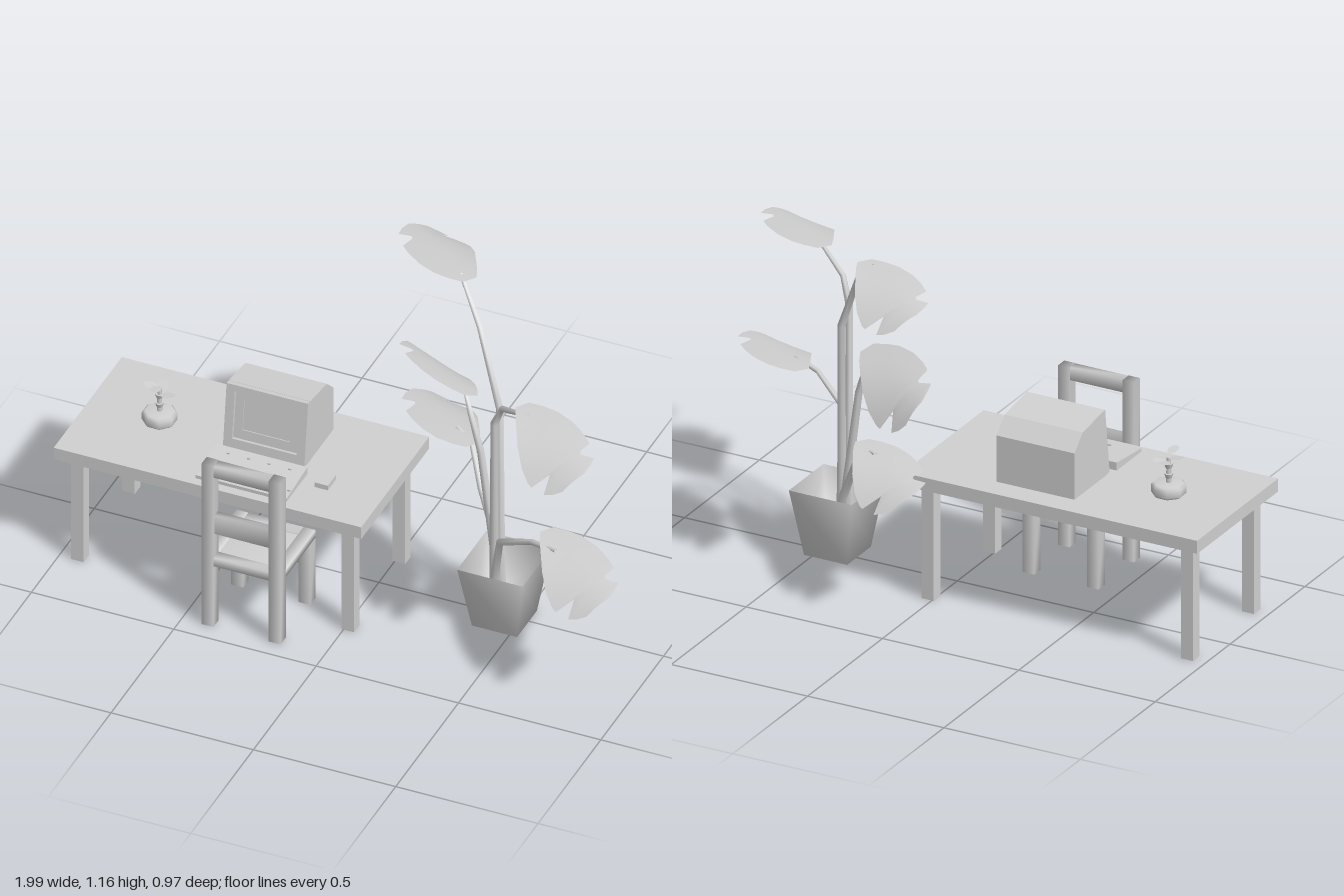
import * as THREE from 'three';
import { mergeVertices } from 'three/addons/utils/BufferGeometryUtils.js';

const grey = new THREE.MeshStandardMaterial({ color: 0xd0d0d0, side: THREE.DoubleSide });
grey.name = 'pale grey';

function add(parent, name, geo) {
  const m = new THREE.Mesh(geo, grey);
  m.name = name;
  parent.add(m);
  return m;
}

// Box given by its minimum and maximum along each axis; optionally with soft shared normals
function box(parent, name, x0, x1, y0, y1, z0, z1, soft = false) {
  let g = new THREE.BoxGeometry(x1 - x0, y1 - y0, z1 - z0);
  if (soft) {
    g.deleteAttribute('normal');
    g.deleteAttribute('uv');
    g = mergeVertices(g);
    g.computeVertexNormals();
  }
  const m = add(parent, name, g);
  m.position.set((x0 + x1) / 2, (y0 + y1) / 2, (z0 + z1) / 2);
  return m;
}

function group(parent, name) {
  const g = new THREE.Group();
  g.name = name;
  parent.add(g);
  return g;
}

function surface(pos, idx) {
  const g = new THREE.BufferGeometry();
  g.setAttribute('position', new THREE.Float32BufferAttribute(pos, 3));
  g.setIndex(idx);
  g.computeVertexNormals();
  return g;
}

// Grid of vertices, rows x cols, joined into triangles
function gridIndex(rows, cols) {
  const idx = [];
  for (let i = 0; i < rows - 1; i++) for (let j = 0; j < cols - 1; j++) {
    const a = i * cols + j, b = a + cols;
    idx.push(a, a + 1, b, b, a + 1, b + 1);
  }
  return idx;
}

// Tapered stem with a kink at each point
function stemGeometry(points, r0, r1) {
  const p = points.map(a => new THREE.Vector3(...a)), sides = 6, pos = [];
  p.forEach((c, i) => {
    const dir = p[Math.min(i + 1, p.length - 1)].clone().sub(p[Math.max(i - 1, 0)]).normalize();
    const q = new THREE.Quaternion().setFromUnitVectors(new THREE.Vector3(0, 1, 0), dir);
    const r = r0 + (r1 - r0) * i / (p.length - 1);
    for (let j = 0; j <= sides; j++) {
      const a = -j / sides * Math.PI * 2;
      const v = new THREE.Vector3(Math.cos(a) * r, 0, Math.sin(a) * r).applyQuaternion(q).add(c);
      pos.push(v.x, v.y, v.z);
    }
  });
  return surface(pos, gridIndex(p.length, sides + 1));
}

// Notched leaf: rows of [distance along, upper side, drooping side]
const leafRows = [
  [-0.03, -0.03, 0.02], [0.01, -0.06, 0.045], [0.06, -0.085, 0.07], [0.13, -0.1, 0.105],
  [0.2, -0.1, 0.13], [0.25, -0.092, 0.137], [0.27, -0.045, 0.135], [0.285, -0.04, 0.075],
  [0.32, -0.068, 0.118], [0.345, -0.04, 0.1], [0.365, -0.005, 0.075]
];
function leafGeometry(droop) {
  const pos = [], n = 6;
  for (const [u, a, b] of leafRows) for (let j = 0; j <= n; j++) {
    const v = a + (b - a) * j / n, t = Math.max(u, 0) / 0.365;
    const s = Math.max(v + 0.05, 0) / 0.15;
    pos.push(u, -droop * (0.02 * t * t + 0.07 * t * s * s), v);
  }
  const idx = gridIndex(leafRows.length, n + 1);
  return surface(pos, idx);
}

function makeDesk(root) {
  const desk = group(root, 'desk');
  box(desk, 'deskTop', -1, 0.08, 0.41, 0.456, -0.22, 0.322);
  for (const x of [-0.957, -0.007]) for (const z of [-0.17, 0.238])
    box(desk, 'deskLeg', x, x + 0.044, 0, 0.41, z, z + 0.044);
}

function makeChair(root) {
  const chair = group(root, 'chair');
  const [l, r, w] = [-0.43, -0.152, 0.042];
  for (const x of [l, r - w]) {
    box(chair, 'backPost', x, x + w, 0, 0.637, 0.397, 0.438, true);
    box(chair, 'frontLeg', x, x + w, 0, 0.245, 0.16, 0.202, true);
    box(chair, 'sideRail', x, x + w, 0.24, 0.27, 0.16, 0.4, true);
  }
  box(chair, 'topRail', l + w, r - w, 0.592, 0.637, 0.4, 0.436, true);
  box(chair, 'backSlat', l + w, r - w, 0.365, 0.438, 0.405, 0.43, true);
  box(chair, 'rearRail', l + w, r - w, 0.24, 0.273, 0.398, 0.436, true);
  box(chair, 'frontRail', l + w, r - w, 0.24, 0.27, 0.16, 0.2, true);
  box(chair, 'seat', l + w, r - w, 0.25, 0.264, 0.2, 0.4, true);
}

function makeComputer(root) {
  const pc = group(root, 'computer');
  const cx = -0.361, w = 0.286;
  // Housing: side profile swept across the width
  const side = new THREE.Shape([[0.082, 0.456], [0.052, 0.69], [-0.08, 0.672], [-0.135, 0.62], [-0.135, 0.456]]
    .map(([z, y]) => new THREE.Vector2(-z, y)));
  const body = add(pc, 'monitorHousing', new THREE.ExtrudeGeometry(side, { depth: w, bevelEnabled: false }));
  body.rotation.y = Math.PI / 2;
  body.position.x = cx - w / 2;
  // Leaning front frame around a recessed screen
  const rect = (T, x, y0, y1) => {
    const s = new T();
    s.moveTo(-x, y0); s.lineTo(x, y0); s.lineTo(x, y1); s.lineTo(-x, y1); s.closePath();
    return s;
  };
  const front = group(pc, 'monitorFront');
  front.position.set(cx, 0.458, 0.0815);
  front.rotation.x = -Math.atan2(0.03, 0.234);
  const frame = (name, xo, a, b, xi, c, d, depth) => {
    const s = rect(THREE.Shape, xo, a, b);
    s.holes.push(rect(THREE.Path, xi, c, d));
    return add(front, name, new THREE.ExtrudeGeometry(s, { depth, bevelEnabled: false }));
  };
  frame('outerFrame', w / 2, 0, 0.233, 0.113, 0.036, 0.212, 0.018);
  frame('innerFrame', 0.113, 0.036, 0.212, 0.083, 0.07, 0.188, 0.007);
  box(front, 'screen', -0.083, 0.083, 0.07, 0.188, 0, 0.003);

  // Keyboard wedge with two rows of small keys
  const keyboard = group(pc, 'keyboard');
  const wedge = new THREE.Shape([[-0.29, 0.456], [-0.125, 0.456], [-0.125, 0.484], [-0.29, 0.468]]
    .map(p => new THREE.Vector2(...p)));
  const base = add(keyboard, 'keyboardBase', new THREE.ExtrudeGeometry(wedge, { depth: 0.32, bevelEnabled: false }));
  base.rotation.y = Math.PI / 2;
  base.position.x = -0.516;
  for (let i = 0; i < 4; i++) for (const [x, z, y] of [[-0.465, 0.152, 0.482], [-0.425, 0.248, 0.473]])
    box(keyboard, 'key', x + i * 0.072, x + i * 0.072 + 0.01, y - 0.004, y + 0.004, z, z + 0.008);
  box(pc, 'mouse', -0.147, -0.1, 0.456, 0.474, 0.115, 0.18);
}

function makeDeskFlower(root) {
  const flower = group(root, 'deskFlower');
  flower.position.set(-0.748, 0.456, 0.05);
  const pot = add(flower, 'smallPot', new THREE.LatheGeometry([[0, 0], [0.05, 0], [0.058, 0.008],
    [0.058, 0.032], [0.048, 0.042], [0, 0.042]].map(p => new THREE.Vector2(...p)), 8));
  pot.rotation.y = Math.PI / 8;
  add(flower, 'smallStem', new THREE.CylinderGeometry(0.007, 0.009, 0.09, 6)).position.y = 0.085;
  for (const y of [0.065, 0.1])
    add(flower, 'stemKnot', new THREE.CylinderGeometry(0.015, 0.01, 0.016, 6)).position.y = y;
  // Four flat petals at rising heights
  for (let i = 0; i < 4; i++) {
    const arm = group(flower, 'petalArm');
    arm.rotation.y = i * Math.PI / 2;
    arm.position.y = 0.11 + i * 0.012;
    const petal = add(arm, 'petal', new THREE.CircleGeometry(1, 8).rotateX(-Math.PI / 2));
    petal.scale.set(0.026, 1, 0.018);
    petal.position.x = 0.03;
    petal.rotation.z = 0.15;
  }
}

function makePlant(root) {
  const plant = group(root, 'pottedPlant');
  // Open square pot
  const pot = add(plant, 'plantPot', new THREE.LatheGeometry([[0, 0], [0.112, 0], [0.163, 0.235]]
    .map(p => new THREE.Vector2(...p)), 4));
  pot.rotation.y = Math.PI / 4;
  pot.position.set(0.448, 0, 0.016);

  const heading = Math.atan2(0.22, -0.3); // shared direction of the left-hand leaves
  // Stem points, base radius, leaf base, leaf heading, droop and tilt
  const shoots = [
    { stem: [[0.445, 0.1, 0.035], [0.44, 0.235, 0.03], [0.425, 0.81, 0], [0.31, 1.04, -0.1], [0.2, 1.152, -0.2]],
      r: 0.02, leaf: [0.22, 1.155, -0.2], turn: heading, droop: 1 },
    { stem: [[0.43, 0.1, 0.05], [0.432, 0.235, 0.062], [0.45, 0.83, 0.1], [0.49, 0.92, 0.13], [0.62, 0.982, 0.21]],
      r: 0.02, leaf: [0.6, 0.987, 0.19], turn: heading + Math.PI, droop: 1 },
    { stem: [[0.41, 0.1, 0], [0.4, 0.235, -0.015], [0.345, 0.6, -0.03], [0.305, 0.73, -0.04], [0.27, 0.775, -0.08]],
      r: 0.02, leaf: [0.275, 0.785, -0.085], turn: heading, droop: 1.1, tilt: 0.38 },
    { stem: [[0.42, 0.1, -0.03], [0.387, 0.235, -0.06], [0.31, 0.395, -0.11], [0.24, 0.495, -0.196], [0.17, 0.507, -0.24]],
      r: 0.018, leaf: [0.235, 0.51, -0.19], turn: heading, droop: 1 },
    { stem: [[0.45, 0.1, 0.08], [0.456, 0.235, 0.112], [0.5, 0.42, 0.17], [0.64, 0.505, 0.235], [0.74, 0.52, 0.27]],
      r: 0.018, leaf: [0.69, 0.525, 0.2], turn: heading + Math.PI, droop: 1 }
  ];
  for (const s of shoots) {
    add(plant, 'stem', stemGeometry(s.stem, s.r, 0.007));
    const leaf = add(plant, 'leaf', leafGeometry(s.droop));
    leaf.geometry.scale(1, 1, -1);      // drooping side lies to the left of the heading
    leaf.geometry.index.array.reverse();
    leaf.geometry.computeVertexNormals();
    leaf.rotation.order = 'YXZ';
    leaf.rotation.set(s.tilt || 0, s.turn, 0);
    // The drooping side faces the front for leaves heading left
    leaf.scale.z = -1;
    if (s.tilt) leaf.rotation.x = s.tilt;
    leaf.position.set(...s.leaf);
  }
}

export function createModel() {
  const root = new THREE.Group();
  root.name = 'deskScene';
  makeDesk(root);
  makeChair(root);
  makeComputer(root);
  makeDeskFlower(root);
  makePlant(root);
  return root;
}
